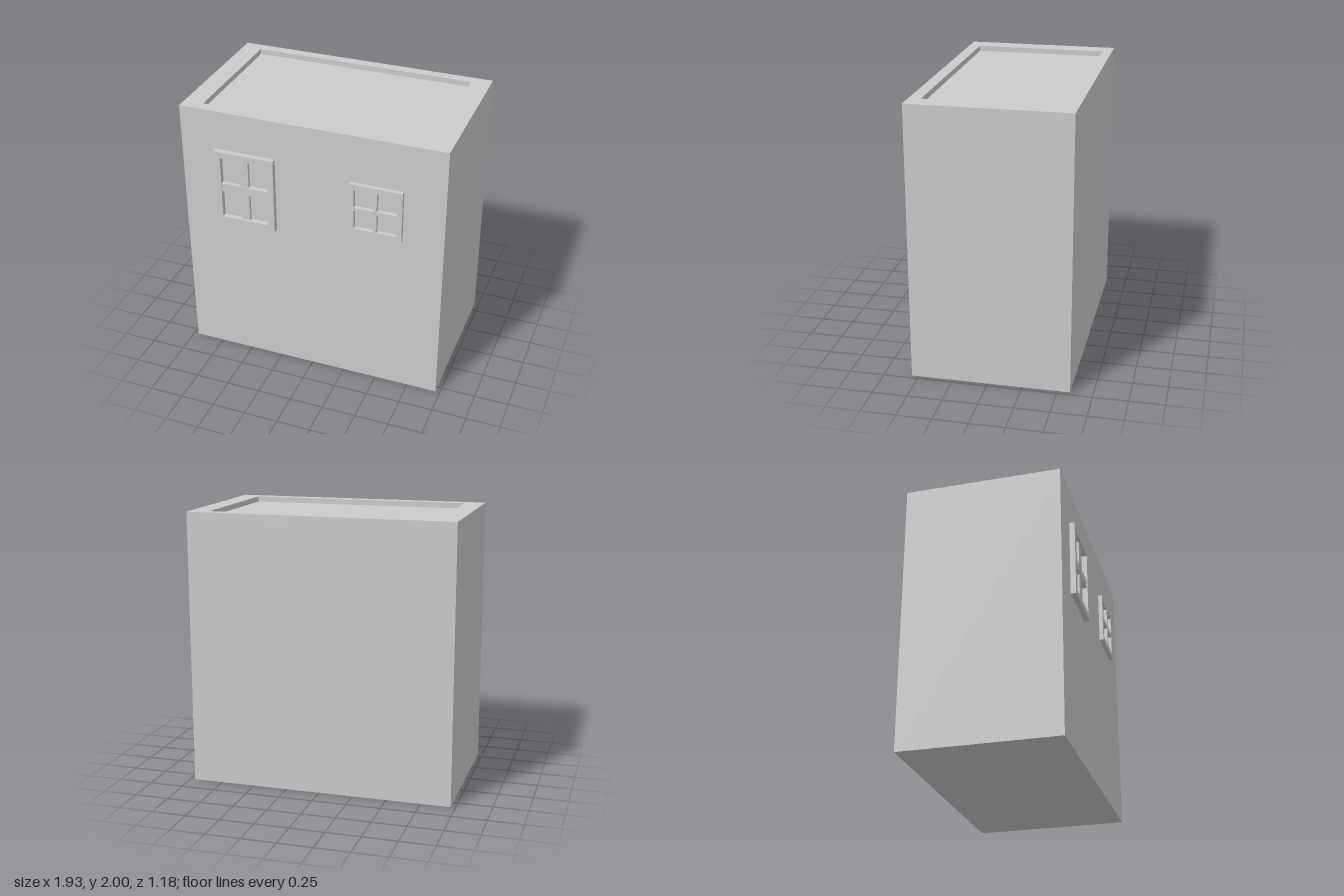
import * as THREE from 'three';

const material = new THREE.MeshStandardMaterial({ color: 0xcccccc, flatShading: true });
const WALL_Z = 0.55;

function rectPoints(x0, x1, y0, y1) {
  return [[x0, y0], [x1, y0], [x1, y1], [x0, y1]].map(([x, y]) => new THREE.Vector2(x, y));
}

// Flat slab with rectangular openings; rectangles are [x0, x1, y0, y1].
function pierced(name, outer, holes, depth) {
  const shape = new THREE.Shape(rectPoints(...outer));
  for (const h of holes) shape.holes.push(new THREE.Path(rectPoints(...h).reverse()));
  const geometry = new THREE.ExtrudeGeometry(shape, { depth, bevelEnabled: false });
  const mesh = new THREE.Mesh(geometry, material);
  mesh.name = name;
  return mesh;
}

function box(name, x0, x1, y0, y1, z0, z1) {
  const mesh = new THREE.Mesh(new THREE.BoxGeometry(x1 - x0, y1 - y0, z1 - z0), material);
  mesh.position.set((x0 + x1) / 2, (y0 + y1) / 2, (z0 + z1) / 2);
  mesh.name = name;
  return mesh;
}

export function createModel() {
  const group = new THREE.Group();
  group.name = 'building';

  // Main block up to the sunken roof
  const roofY = 1.96;
  group.add(box('walls', -0.967, 0.967, 0, roofY, -0.59, WALL_Z));

  // Raised rim around the roof (shape y becomes -z)
  const parapet = pierced('parapet', [-0.967, 0.967, -WALL_Z, 0.59], [[-0.823, 0.823, -0.465, 0.515]], 2 - roofY);
  parapet.rotation.x = -Math.PI / 2;
  parapet.position.y = roofY;
  group.add(parapet);

  // Tall window: frame with crossing bars set slightly back
  const tall = new THREE.Group();
  tall.name = 'tallWindow';
  const frame = pierced('tallWindowFrame', [-0.71, -0.26, 1.14, 1.71], [[-0.66, -0.31, 1.186, 1.662]], 0.039);
  frame.position.z = WALL_Z;
  tall.add(frame);
  tall.add(box('tallWindowCrossbar', -0.66, -0.31, 1.392, 1.455, WALL_Z, 0.582));
  tall.add(box('tallWindowUpperMullion', -0.518, -0.455, 1.455, 1.662, WALL_Z, 0.574));
  tall.add(box('tallWindowLowerMullion', -0.518, -0.455, 1.186, 1.392, WALL_Z, 0.574));
  group.add(tall);

  // Small window: one slab with four panes
  const panes = [];
  for (const [x0, x1] of [[0.328, 0.47], [0.493, 0.635]])
    for (const [y0, y1] of [[1.3, 1.442], [1.467, 1.61]]) panes.push([x0, x1, y0, y1]);
  const small = pierced('smallWindow', [0.29, 0.673, 1.26, 1.648], panes, 0.03);
  small.position.z = WALL_Z;
  group.add(small);

  return group;
}
